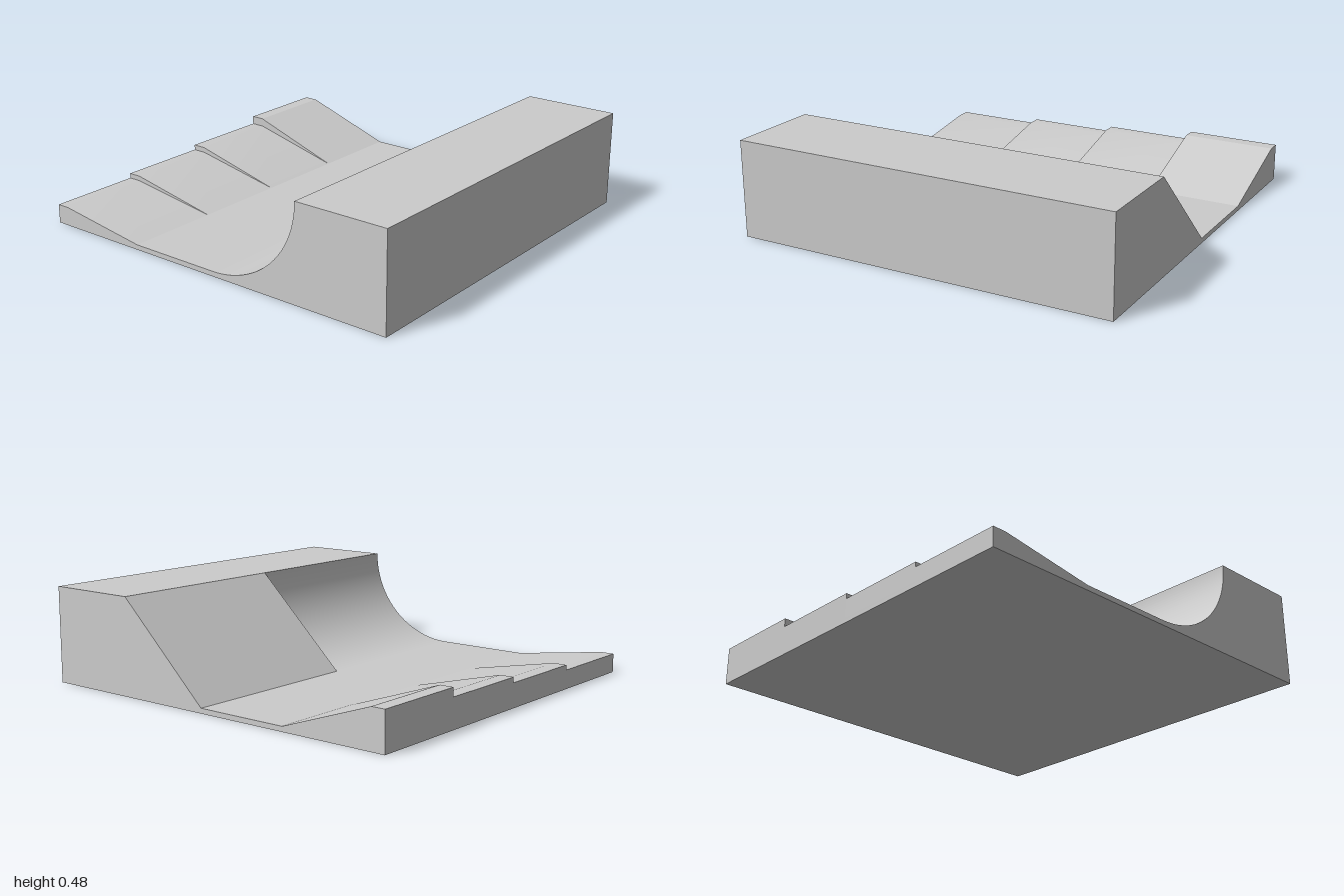
import * as THREE from 'three';
import { toCreasedNormals } from 'three/addons/utils/BufferGeometryUtils.js';

const HALF = 0.96;   // half width
const FLOOR = 0.025; // slab thickness
const TOP = 0.48;    // deck height
const LIP = 0.52;    // z of the deck's rear edge
const FOOT = 0.035;  // z where the slopes meet the floor

export function createModel() {
  const model = new THREE.Group();
  const material = new THREE.MeshStandardMaterial({ color: 0xcccccc });

  // Extrude a side profile (drawn with -z to the right, y up) from x0 to x1
  const addProfile = (name, shape, x0, x1) => {
    let geometry = new THREE.ExtrudeGeometry(shape, { depth: x1 - x0, bevelEnabled: false, curveSegments: 24 });
    geometry.rotateY(Math.PI / 2).translate(x0, 0, 0);
    geometry = toCreasedNormals(geometry, 0.3);
    const mesh = new THREE.Mesh(geometry, material);
    mesh.name = name;
    model.add(mesh);
  };
  const polygon = (points) => new THREE.Shape(points.map(([z, y]) => new THREE.Vector2(-z, y)));

  // Floor slab and raised front deck
  addProfile('floorSlab', polygon([[1, 0], [-1, 0], [-1, FLOOR], [1, FLOOR]]), -HALF, HALF);
  addProfile('frontDeck', polygon([[1, FLOOR], [LIP, FLOOR], [LIP, TOP], [1, TOP]]), -HALF, HALF);

  // Straight bank on the left half
  addProfile('straightBank', polygon([[LIP, FLOOR], [FOOT, FLOOR], [LIP, TOP]]), 0, HALF);

  // Quarter pipe on the right half
  const pipe = new THREE.Shape();
  pipe.moveTo(-LIP, FLOOR);
  pipe.lineTo(-LIP, TOP);
  pipe.absellipse(-FOOT, TOP, LIP - FOOT, TOP - FLOOR, Math.PI, 1.5 * Math.PI, false);
  pipe.closePath();
  addProfile('quarterPipe', pipe, -HALF, 0);

  // Rear ramps, stepping up toward the left
  [0.095, 0.12, 0.147, 0.19].forEach((height, i) => {
    const x0 = -HALF + i * HALF / 2;
    addProfile('rearRamp' + (i + 1),
      polygon([[-0.45, FLOOR], [-1, FLOOR], [-1, height], [-0.93, height]]), x0, x0 + HALF / 2);
  });

  return model;
}
